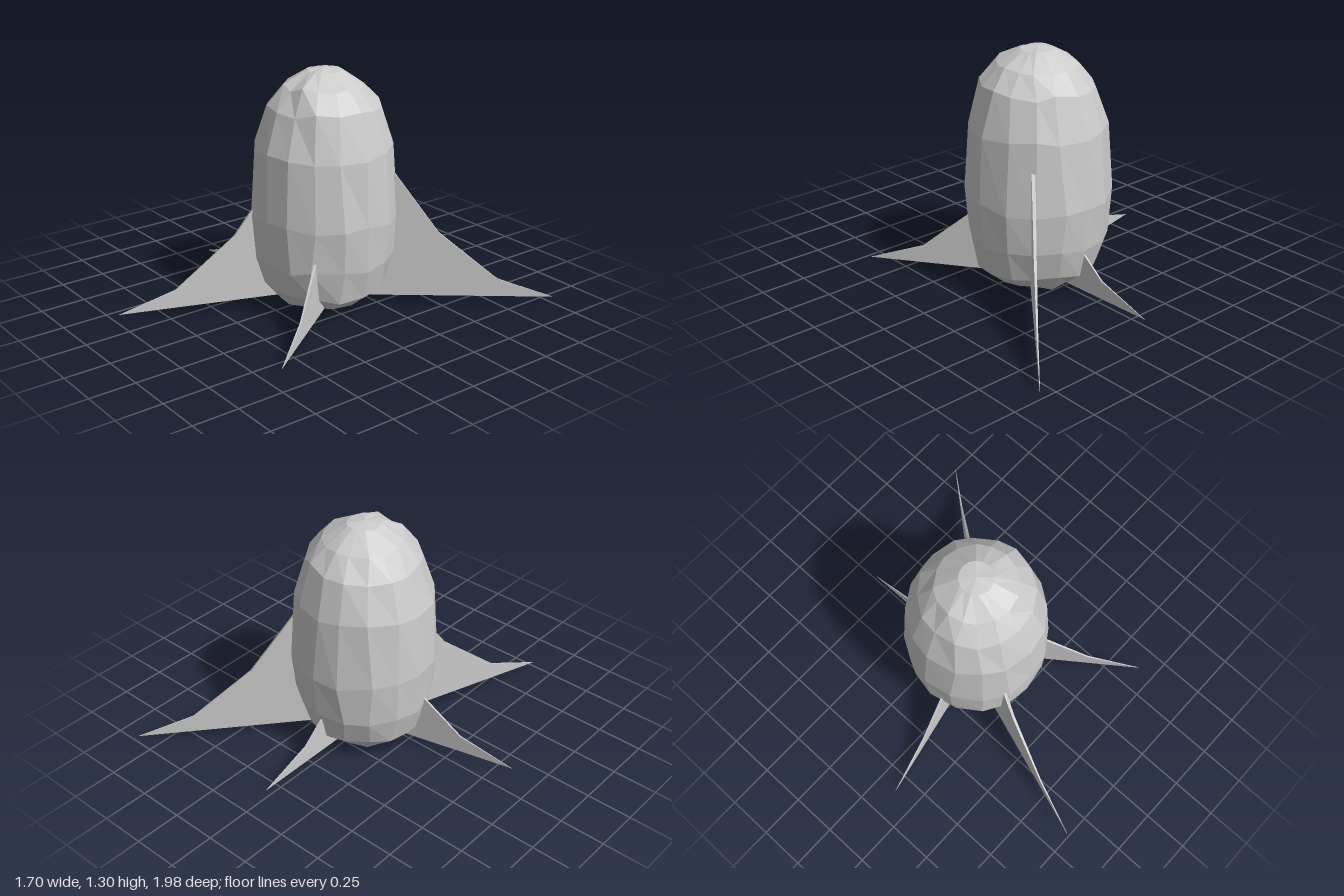
import * as THREE from 'three';

const grey = new THREE.MeshStandardMaterial({ color: 0xcccccc, flatShading: true });

// Repeatable pseudo-random value in -1..1
const noise = (a, b) => {
  const s = Math.sin(a * 12.9898 + b * 78.233) * 43758.5453;
  return (s - Math.floor(s)) * 2 - 1;
};

// Bullet-shaped hull with hand-hewn, slightly uneven facets
function createHull() {
  const profile = [
    [0, 0.005], [0.13, 0.016], [0.235, 0.035], [0.33, 0.125], [0.375, 0.29], [0.392, 0.52],
    [0.367, 0.89], [0.3, 1.11], [0.215, 1.22], [0.09, 1.29], [0, 1.302],
  ].map(([r, y]) => new THREE.Vector2(r, y));
  const sides = 16, rows = profile.length;
  const geo = new THREE.LatheGeometry(profile, sides);
  const pos = geo.attributes.position;
  for (let i = 0; i <= sides; i++) {
    for (let j = 1; j < rows - 1; j++) {
      const k = i % sides, v = i * rows + j;
      const r = profile[j].x * (1 + 0.012 * noise(k, j));
      const angle = (k / sides) * Math.PI * 2 + 0.05 * noise(k + 31, j);
      const sway = j === 1 || j === rows - 2 ? 0.004 : 0.018;
      pos.setXYZ(v, r * Math.sin(angle), profile[j].y + sway * noise(k + 67, j), r * Math.cos(angle));
    }
  }
  const hull = new THREE.Mesh(geo, grey);
  hull.name = 'hull';
  hull.position.set(0.022, 0, -0.058);
  return hull;
}

// Swept fin: x runs from the tip inward, thickness tapers to nothing at the tip
function createFinGeometry() {
  const outline = [[0, 0.045], [1.03, 0.045], [0.95, 0.85], [0.63, 0.41], [0.305, 0.145]];
  const shape = new THREE.Shape(outline.map(([x, y]) => new THREE.Vector2(x, y)));
  const geo = new THREE.ExtrudeGeometry(shape, { depth: 1, bevelEnabled: false });
  const pos = geo.attributes.position;
  for (let i = 0; i < pos.count; i++) {
    pos.setZ(i, (pos.getZ(i) - 0.5) * (0.002 + 0.02 * pos.getX(i)));
  }
  geo.computeVertexNormals();
  return geo;
}

export function createModel() {
  const model = new THREE.Group();
  model.name = 'rocket';
  model.add(createHull());

  // Fins: tip (x, z) and the point (x, z) where each enters the hull
  const finGeo = createFinGeometry();
  const fins = [
    ['backLeftFin', 0.845, -0.995, 0.3, -0.34],
    ['frontLeftFin', 0.62, 0.66, 0.3, 0.22],
    ['frontRightFin', -0.385, 0.985, -0.143, 0.3],
    ['rightFin', -0.85, 0.125, -0.36, 0.015],
    ['backFin', 0.007, -0.85, 0.013, -0.45],
  ];
  for (const [name, tx, tz, rx, rz] of fins) {
    const fin = new THREE.Mesh(finGeo, grey);
    fin.name = name;
    fin.position.set(tx, 0, tz);
    fin.rotation.y = Math.atan2(tz - rz, rx - tx);
    model.add(fin);
  }
  return model;
}
